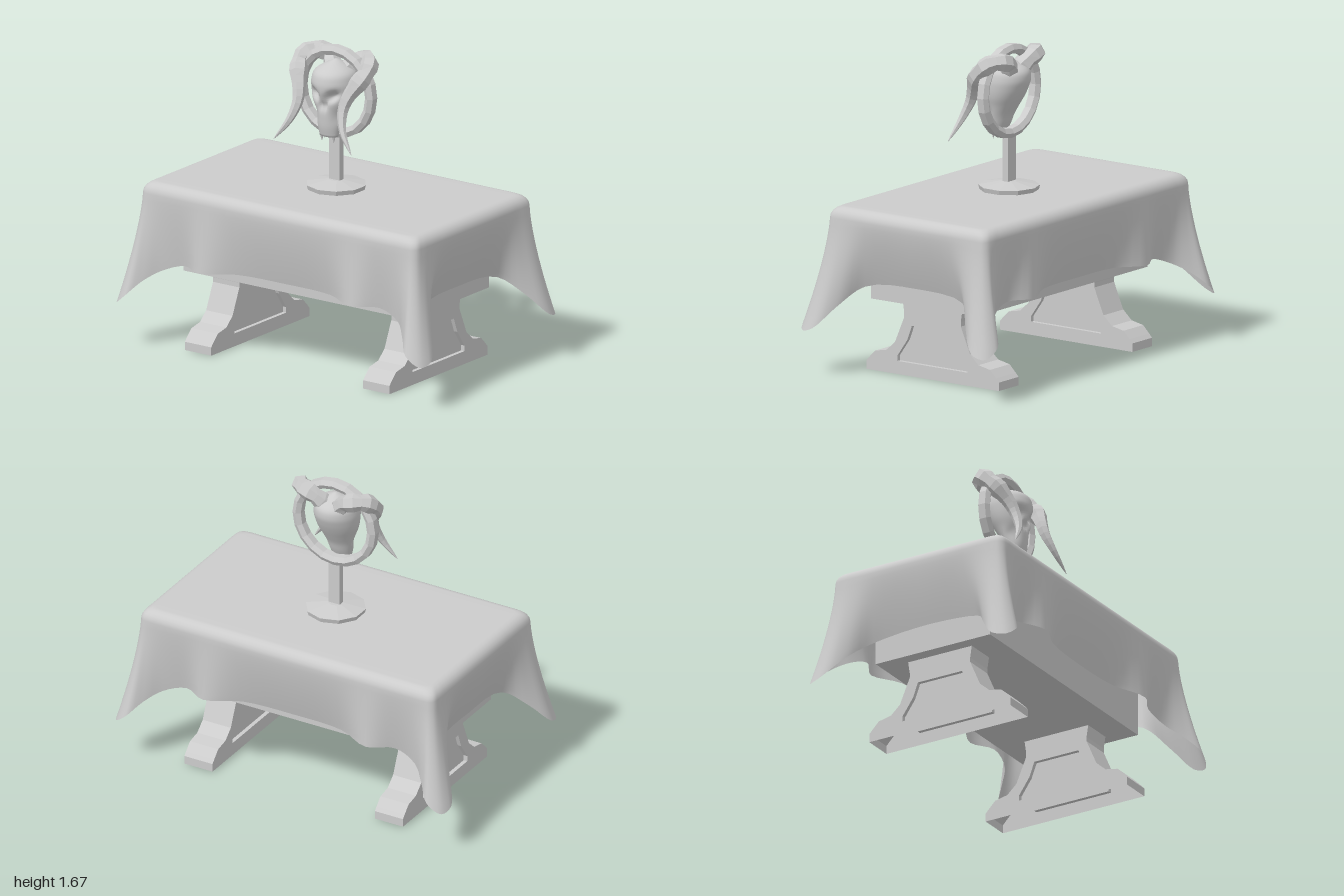
import * as THREE from 'three';

const smooth = new THREE.MeshStandardMaterial({ color: 0xcccccc });
const flat = new THREE.MeshStandardMaterial({ color: 0xcccccc, flatShading: true });
const cloth = new THREE.MeshStandardMaterial({ color: 0xcccccc, side: THREE.DoubleSide });
const shell = new THREE.MeshStandardMaterial({ color: 0xcccccc, flatShading: true, side: THREE.DoubleSide });
const V = (x, y, z) => new THREE.Vector3(x, y, z);
const ZC = -0.015; // table centre line in z

function part(name, geometry, material, parent, x = 0, y = 0, z = 0) {
  const mesh = new THREE.Mesh(geometry, material);
  mesh.name = name;
  mesh.position.set(x, y, z);
  parent.add(mesh);
  return mesh;
}

// Skin a stack of rings that all have the same number of points
function loft(rings, closed = true) {
  const n = rings[0].length, index = [];
  for (let i = 0; i < rings.length - 1; i++) {
    for (let j = 0; j < (closed ? n : n - 1); j++) {
      const a = i * n + j, b = i * n + (j + 1) % n;
      index.push(a, a + n, b, b, a + n, b + n);
    }
  }
  const g = new THREE.BufferGeometry().setFromPoints(rings.flat());
  g.setIndex(index);
  g.computeVertexNormals();
  return g;
}

// Quarter outline of the cloth, front middle to side middle:
// [top x, top z, hem x, hem z, hem y]
const QUARTER = [
  [0, .52, 0, .445, .485], [.3, .52, .3, .46, .485], [.48, .52, .49, .535, .475], [.62, .52, .63, .47, .475],
  [.76, .52, .76, .49, .43], [.83, .52, .84, .56, .375], [.865, .513, .91, .625, .3],
  [.885, .493, .985, .6, .245], [.89, .45, 1, .52, .265], [.89, .38, .92, .42, .38],
  [.89, .27, .81, .32, .48], [.89, 0, .795, 0, .51],
];

function tableclothGeometry() {
  const corners = [[1, 1, 1], [1, -1, .97], [-1, -1, 1], [-1, 1, .93]];
  const ring = (v, inset, rise) => {
    const pts = [];
    corners.forEach(([sx, sz, s], c) => {
      const q = c % 2 ? [...QUARTER].reverse() : QUARTER;
      q.slice(0, -1).forEach(([tx, tz, hx, hz, hy]) => {
        const k = Math.pow(v, 1.4) * s;
        pts.push(V(sx * (tx + (hx - tx) * k) * (1 - inset / .89),
          .84 + rise + (hy - .84) * v,
          ZC * (1 - v * .5) + sz * (tz + (hz - tz) * k) * (1 - inset / .52)));
      });
    });
    const curve = new THREE.CatmullRomCurve3(pts, true);
    return Array.from({ length: 176 }, (_, i) => curve.getPoint(i / 176));
  };
  const rings = [Array.from({ length: 176 }, () => V(0, .9, ZC)), ring(0, .12, .06)];
  for (let i = 0; i < 5; i++) { // rounded table edge
    const a = i / 5 * Math.PI / 2;
    rings.push(ring(0, .06 * (1 - Math.sin(a)), .06 * Math.cos(a)));
  }
  for (let i = 0; i <= 12; i++) rings.push(ring(i / 12, 0, 0)); // hanging folds
  return loft(rings);
}

// Symmetric outline from its right half
function mirrored(half) {
  const pts = [...half, ...half.map(([x, y]) => [-x, y]).reverse()];
  return pts.map(([x, y]) => new THREE.Vector2(x, y));
}

// Trestle leg: hollow shell, open below, with a sunk panel on both faces
function trestle(x) {
  const g = new THREE.Group();
  g.name = 'trestleLeg';
  const outline = mirrored([[.433, 0], [.433, .045], [.415, .065], [.375, .105], [.3, .12],
    [.245, .17], [.185, .31], [.185, .335], [.195, .4]]);
  const panel = mirrored([[.228, .07], [.228, .1], [.165, .19], [.135, .27]]);
  const at = (pts, z) => pts.map((p) => V(p.x, p.y, z));
  const face = new THREE.Shape(outline);
  face.holes.push(new THREE.Path(panel));
  part('legEdge', loft([at(outline, -.085), at(outline, .085)], false), shell, g);
  for (const s of [-1, 1]) {
    part('legFace', new THREE.ShapeGeometry(face), shell, g, 0, 0, s * .085);
    part('legPanelRim', loft([at(panel, s * .085), at(panel, s * .063)]), shell, g);
    part('legPanel', new THREE.ShapeGeometry(new THREE.Shape(panel)), shell, g, 0, 0, s * .063);
  }
  g.rotation.y = Math.PI / 2;
  g.position.set(x, 0, ZC);
  return g;
}

// Skull: evenly spaced levels of [half width, front z, back z], with dents in the face
function skullGeometry() {
  const rows = [[.054, .085, .015], [.066, .097, -.01], [.079, .102, -.03], [.093, .106, -.06],
    [.111, .115, -.09], [.12, .125, -.115], [.12, .125, -.13], [.1, .1, -.115], [.012, 0, -.03]];
  const curve = new THREE.CatmullRomCurve3(rows.map((r) => V(...r)), false, 'catmullrom');
  const dent = (x, y, cx, cy, rx, ry) => Math.exp(-(((x - cx) / rx) ** 2) - ((y - cy) / ry) ** 2);
  const rings = [Array.from({ length: 40 }, () => V(0, 1.205, .05))];
  for (let i = 0; i <= 36; i++) {
    const t = i / 36, p = curve.getPoint(t), y = 1.2 + .4 * t;
    rings.push(Array.from({ length: 40 }, (_, j) => {
      const a = j / 40 * Math.PI * 2, x = p.x * Math.cos(a), ax = Math.abs(x);
      let z = (p.y + p.z) / 2 + (p.y - p.z) / 2 * Math.sin(a);
      if (Math.sin(a) > 0) {
        z -= .045 * dent(ax, y - .4 * (ax - .055), .055, 1.43, .03, .026); // eye sockets
        z -= .03 * dent(ax, y, .01, 1.375, .012, .025); // nose
        z -= .02 * dent(ax, y, .075, 1.31, .025, .04); // hollow cheeks
      }
      return V(x, y, z);
    }));
  }
  rings.push(rings[0].map(() => V(0, 1.602, -.015)));
  return loft(rings);
}

// Curled horn: thick ridged base, collar, then a smooth tapering tip
function hornGeometry(side) {
  const path = new THREE.CatmullRomCurve3([[.045, 1.54, -.05], [.09, 1.59, -.08], [.145, 1.61, -.08],
    [.195, 1.605, -.04], [.212, 1.57, .005], [.192, 1.515, .055], [.16, 1.45, .095], [.145, 1.38, .125],
    [.172, 1.28, .165], [.25, 1.17, .195]].map(([x, y, z]) => V(side * x, y, z)));
  const n = 22, sides = 6, frames = path.computeFrenetFrames(n, false);
  const rings = [];
  for (let i = 0; i <= n; i++) {
    const t = i / n, c = path.getPointAt(t);
    const r = t < .53 ? [.05, .05, .042][i % 3] : .037 * Math.pow((1 - t) / .47, .75) + .001;
    rings.push(Array.from({ length: sides }, (_, j) => {
      const a = j / sides * Math.PI * 2;
      return c.clone().addScaledVector(frames.normals[i], r * Math.cos(a))
        .addScaledVector(frames.binormals[i], -r * Math.sin(a));
    }));
  }
  rings.unshift(rings[0].map(() => path.getPoint(0)));
  return loft(rings);
}

export function createModel() {
  const model = new THREE.Group();
  model.name = 'altarTable';

  // Table
  part('tableTop', new THREE.BoxGeometry(1.46, .46, .7), flat, model, 0, .63, ZC);
  part('tablecloth', tableclothGeometry(), cloth, model);
  for (const s of [-1, 1]) model.add(trestle(s * .575));

  // Stand
  const stand = new THREE.Group();
  stand.name = 'skullStand';
  model.add(stand);
  part('standFoot', new THREE.CylinderGeometry(.162, .155, .025, 10), flat, stand, 0, .912, ZC);
  part('standFootTop', new THREE.CylinderGeometry(.04, .162, .022, 10), flat, stand, 0, .935, ZC);
  part('standPole', new THREE.BoxGeometry(.068, .26, .035), flat, stand, 0, 1.06, ZC);

  // Upright hoop with a bevelled section
  const section = [[.25, -.02], [.25, .02], [.225, .035], [.2, .02], [.2, -.02], [.225, -.035], [.25, -.02]];
  const hoop = part('hoop', new THREE.LatheGeometry(section.map(([r, h]) => new THREE.Vector2(r, h)), 20),
    flat, stand, 0, 1.425, ZC);
  hoop.rotation.x = Math.PI / 2;

  // Skull, teeth and horns
  part('skull', skullGeometry(), smooth, model);
  for (const s of [-1, 1]) {
    part('horn', hornGeometry(s), flat, model);
    for (const [x, z, h] of [[.038, .06, .055], [.014, .072, .03]]) {
      const tooth = part('tooth', new THREE.ConeGeometry(.016, h, 6), flat, model, s * x, 1.22 - h / 2, z);
      tooth.rotation.x = Math.PI;
    }
  }
  return model;
}
